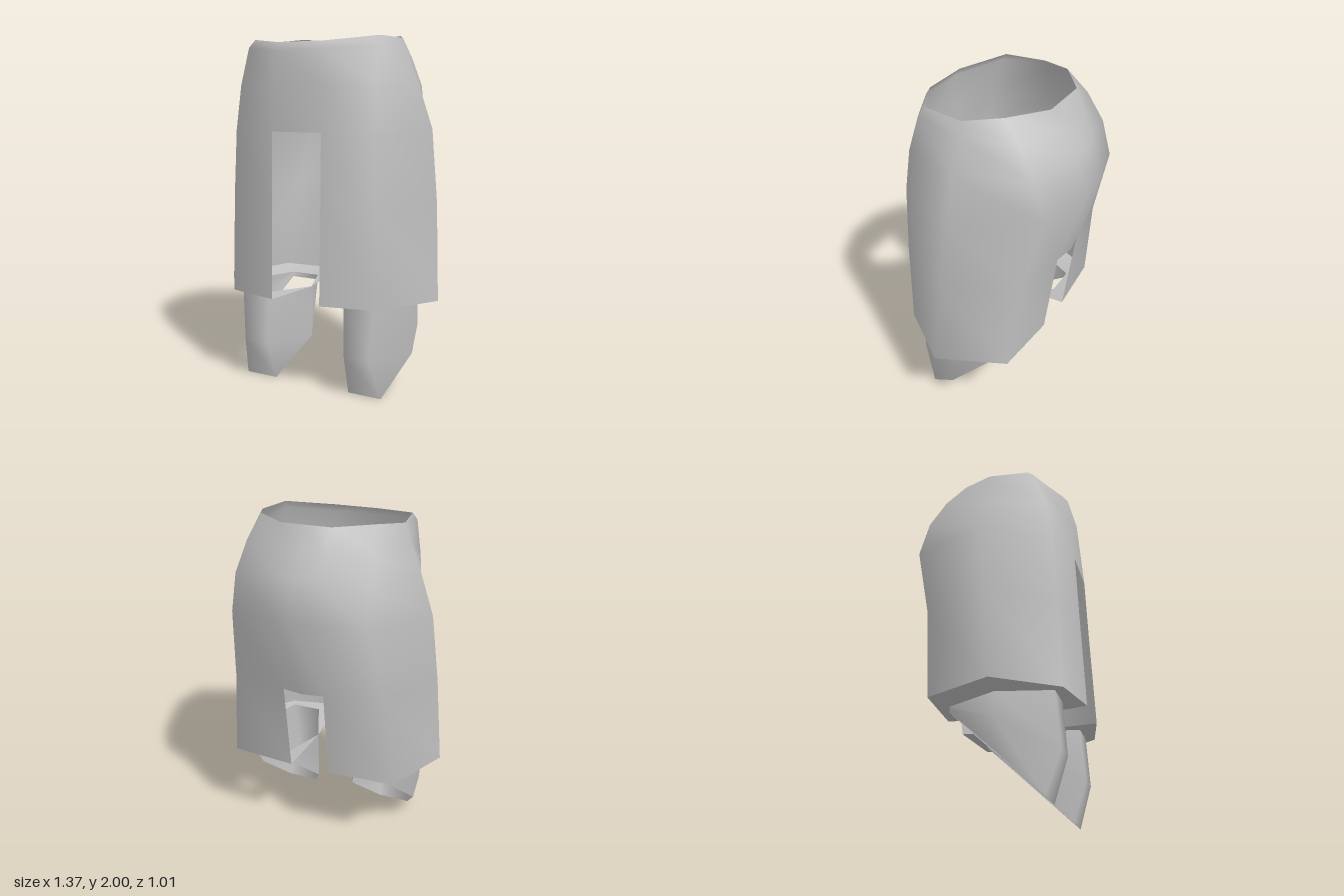
import * as THREE from 'three';

// Skin a list of closed rings (top to bottom, counterclockwise from above) with smooth normals.
function skin(rings, skip = () => false) {
  const n = rings[0].length, index = [];
  for (let r = 0; r < rings.length - 1; r++) {
    for (let c = 0; c < n; c++) {
      if (skip(r, c)) continue;
      const a = r * n + c, d = r * n + (c + 1) % n, b = a + n, e = d + n;
      index.push(a, b, e, a, e, d);
    }
  }
  const g = new THREE.BufferGeometry();
  g.setAttribute('position', new THREE.Float32BufferAttribute(rings.flat(2), 3));
  g.setIndex(index);
  g.computeVertexNormals();
  return g;
}

const flip = ([x, y, z]) => [-x, y, z];

export function createModel() {
  const group = new THREE.Group();
  const grey = new THREE.MeshStandardMaterial({ color: 0xc0c0c0, side: THREE.DoubleSide });
  grey.name = 'grey';
  const add = (name, geometry) => {
    const mesh = new THREE.Mesh(geometry, grey);
    mesh.name = name;
    group.add(mesh);
  };

  // Half rings of the garment: front slot edge, front corner, side, back corner, back slot edge, back centre
  const half = [
    [[0.14, 1.945, 0.42], [0.39, 1.975, 0.265], [0.42, 1.975, 0.03], [0.33, 2, -0.155], [0.14, 2, -0.305], [0, 2, -0.305]],
    [[0.14, 1.9, 0.45], [0.41, 1.93, 0.3], [0.445, 1.9, 0.03], [0.36, 1.88, -0.27], [0.12, 1.88, -0.37], [0, 1.88, -0.375]],
    [[0.145, 1.72, 0.462], [0.42, 1.72, 0.37], [0.52, 1.72, 0.03], [0.39, 1.72, -0.36], [0.1, 1.76, -0.435], [0, 1.76, -0.44]],
    [[0.15, 1.47, 0.478], [0.43, 1.47, 0.41], [0.602, 1.48, 0.03], [0.39, 1.52, -0.42], [0.09, 1.55, -0.505], [0, 1.55, -0.51]],
    [[0.15, 1.08, 0.488], [0.44, 1.08, 0.43], [0.648, 1.08, 0.06], [0.45, 1.08, -0.32], [0.12, 1.08, -0.37], [0, 1.08, -0.39]],
    [[0.15, 0.54, 0.505], [0.45, 0.54, 0.44], [0.685, 0.54, 0.115], [0.51, 0.54, -0.27], [0.12, 0.54, -0.3], [0, 0.54, -0.3]],
  ];
  const rings = half.map((h) => [h[5], ...h.slice(0, 5).reverse().map(flip), ...h.slice(0, 5)]);
  // Column 5 is the front panel; columns 10 and 0 are the back panel: both are cut away low down
  add('garmentShell', skin(rings, (r, c) => (c === 5 && r >= 3) || ((c === 10 || c === 0) && r >= 4)));

  // Leg rings: inner, front inner, front outer, outer, back outer, back inner
  const leg = [
    [[0.12, 0.52, 0.11], [0.24, 0.54, 0.39], [0.42, 0.54, 0.39], [0.565, 0.51, 0.11], [0.42, 0.51, -0.18], [0.235, 0.51, -0.18]],
    [[0.12, 0.38, 0.11], [0.25, 0.24, 0.41], [0.4, 0.24, 0.41], [0.565, 0.38, 0.11], [0.42, 0.495, -0.18], [0.235, 0.495, -0.18]],
    [[0.12, 0.21, 0.11], [0.24, 0, 0.33], [0.44, 0, 0.33], [0.535, 0.21, 0.11], [0.42, 0.48, -0.18], [0.235, 0.48, -0.18]],
  ];
  // Underside lip joining the hem to the top of the leg
  const lip = [[leg[0][0], ...half[5].slice(0, 5)], leg[0]];
  const mirrored = (set) => set.map((ring) => ring.map(flip).reverse());

  add('leftLeg', skin(leg));
  add('rightLeg', skin(mirrored(leg)));
  add('leftHemLip', skin(lip));
  add('rightHemLip', skin(mirrored(lip)));
  return group;
}
